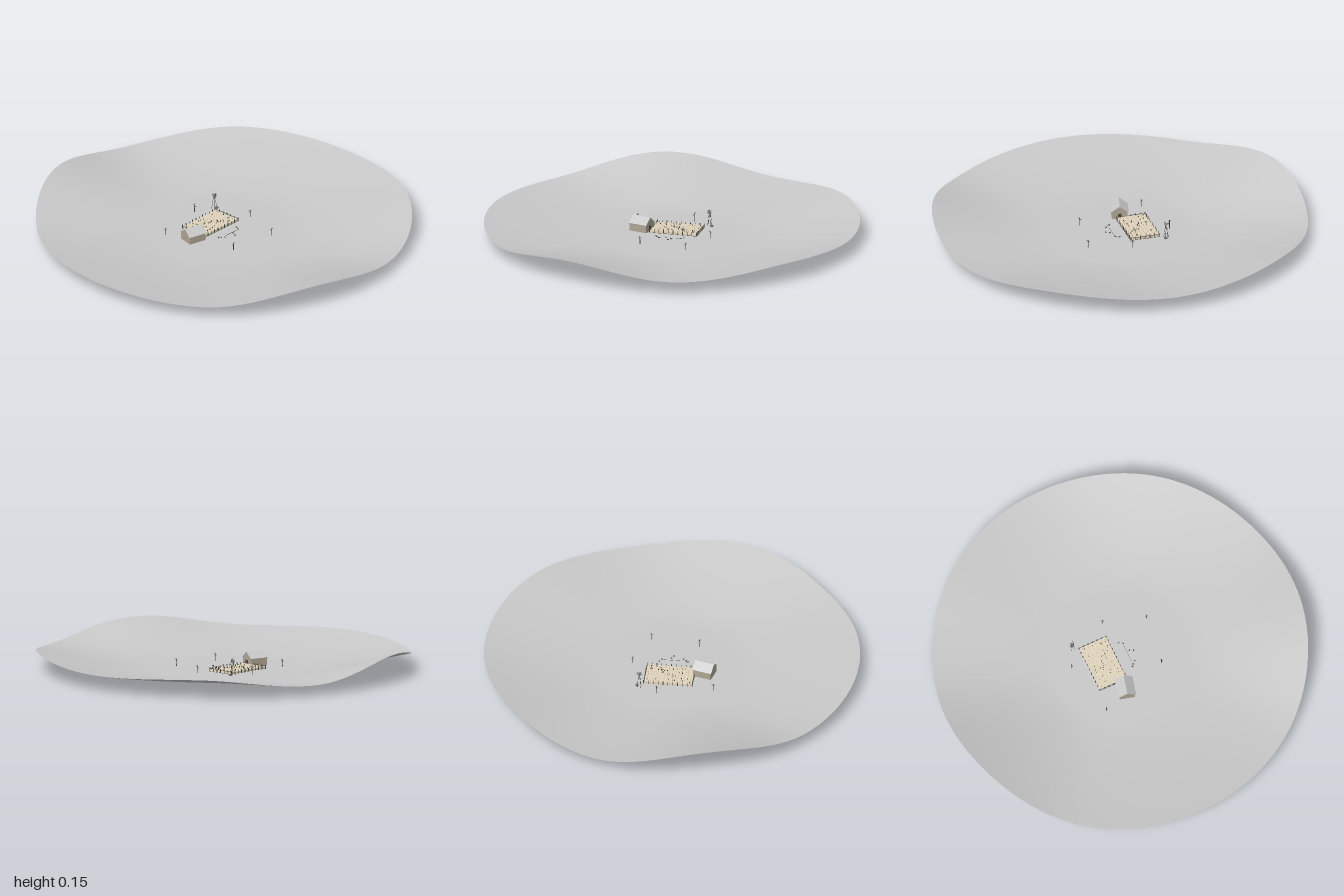
import * as THREE from 'three';

const mat = (name, color, side = THREE.FrontSide) => {
  const m = new THREE.MeshStandardMaterial({ color, side });
  m.name = name;
  return m;
};

const GROUND = 0.006;
// Rim heights every 36 degrees, starting at +x and turning towards +z
const RIM = [0.088, 0.11, 0.07, 0.135, 0.07, 0.085, 0.072, 0.15, 0.06, 0.107];

function groundHeight(x, z) {
  const a = ((Math.atan2(z, x) / (Math.PI * 2) + 1) % 1) * RIM.length;
  const i = Math.floor(a) % RIM.length;
  const s = (1 - Math.cos((a - Math.floor(a)) * Math.PI)) / 2;
  const rim = THREE.MathUtils.lerp(RIM[i], RIM[(i + 1) % RIM.length], s);
  const t = Math.max(0, (Math.hypot(x, z) - 0.38) / 0.62) ** 1.5;
  return GROUND + (rim - GROUND) * t;
}

export function createModel() {
  const group = new THREE.Group();
  const land = mat('land grey', 0xc8c8c8, THREE.DoubleSide);
  const straw = mat('straw', 0xe0d4bc);
  const wall = mat('barn wall', 0xaea593);
  const roofMat = mat('roof grey', 0xc8c8c8);
  const wood = mat('dark wood', 0x4b4740);
  const metal = mat('metal', 0x77777a);

  const add = (parent, name, geo, material, x = 0, y = 0, z = 0) => {
    const mesh = new THREE.Mesh(geo, material);
    mesh.name = name;
    mesh.position.set(x, y, z);
    parent.add(mesh);
    return mesh;
  };
  const part = (name, x, z) => {
    const g = new THREE.Group();
    g.name = name;
    g.position.set(x, GROUND, z);
    group.add(g);
    return g;
  };
  // Thin pole between two points
  const pole = (parent, name, a, b, r) => {
    const p = new THREE.Vector3(...a), q = new THREE.Vector3(...b);
    const mesh = add(parent, name, new THREE.CylinderGeometry(r * 0.7, r, p.distanceTo(q), 5), wood);
    mesh.position.copy(p).lerp(q, 0.5);
    mesh.quaternion.setFromUnitVectors(new THREE.Vector3(0, 1, 0), q.sub(p).normalize());
  };
  let seed = 7;
  const rand = () => (seed = (seed * 16807) % 2147483647) / 2147483647;

  // Rolling land with a wavy raised rim
  const disc = new THREE.RingGeometry(0.0005, 1, 120, 36).rotateX(-Math.PI / 2);
  const pos = disc.attributes.position;
  for (let i = 0; i < pos.count; i++) pos.setY(i, groundHeight(pos.getX(i), pos.getZ(i)));
  disc.computeVertexNormals();
  add(group, 'land', disc, land);

  // Crop field: standing crop, short ears on top and a few dark stalks
  const field = part('field', 0, -0.1);
  add(field, 'crop', new THREE.BoxGeometry(0.254, 0.012, 0.154), straw, 0, 0.0065, 0);
  const ear = new THREE.ConeGeometry(0.003, 0.008, 4);
  for (let i = 0; i < 14; i++) for (let j = 0; j < 8; j++) {
    add(field, 'ear', ear, straw, -0.117 + i * 0.018 + (rand() - 0.5) * 0.006, 0.0165,
      -0.067 + j * 0.019 + (rand() - 0.5) * 0.006);
  }
  const stalk = new THREE.BoxGeometry(0.003, 0.008, 0.003);
  for (let i = 0; i < 36; i++) {
    add(field, 'darkStalk', stalk, wood, (rand() - 0.5) * 0.23, 0.0155, (rand() - 0.5) * 0.13);
  }

  // Fence around the field
  const post = new THREE.BoxGeometry(0.003, 0.021, 0.003);
  const railX = new THREE.BoxGeometry(0.26, 0.002, 0.0015);
  const railZ = new THREE.BoxGeometry(0.0015, 0.002, 0.16);
  for (const s of [-1, 1]) {
    for (let i = 0; i <= 10; i++) add(field, 'fencePost', post, wood, -0.13 + i * 0.026, 0.011, s * 0.08);
    for (let i = 1; i < 6; i++) add(field, 'fencePost', post, wood, s * 0.13, 0.011, -0.08 + i * 0.0267);
    add(field, 'sideRail', railZ, wood, s * 0.13, 0.015, 0);
    add(field, 'groundSideRail', railZ, wood, s * 0.13, 0, 0);
  }
  add(field, 'groundFrontRail', railX, wood, 0, 0, 0.08);

  // Barn: gabled body, two roof slabs and a door
  const barn = part('barn', -0.182, -0.053);
  barn.rotation.y = -0.245;
  const gable = new THREE.Shape([[-0.042, 0.0005], [0.042, 0.0005], [0.042, 0.042], [0, 0.073], [-0.042, 0.042]]
    .map(p => new THREE.Vector2(...p)));
  const body = new THREE.ExtrudeGeometry(gable, { depth: 0.1, bevelEnabled: false })
    .translate(0, 0, -0.05).rotateY(Math.PI / 2);
  add(barn, 'barnBody', body, wall);
  for (const s of [-1, 1]) {
    const slab = add(barn, 'roof', new THREE.BoxGeometry(0.106, 0.004, 0.058), roofMat, 0, 0.0585, s * 0.0225);
    slab.rotation.x = s * Math.atan2(0.031, 0.042);
  }
  add(barn, 'barnDoor', new THREE.BoxGeometry(0.003, 0.03, 0.02), wood, 0.05, 0.016, 0);

  // Wind pump with four legs and a bladed wheel
  const pump = part('windPump', 0.15, -0.21);
  for (const sx of [-1, 1]) for (const sz of [-1, 1]) {
    pole(pump, 'towerLeg', [sx * 0.01, 0, sz * 0.01], [sx * 0.002, 0.078, sz * 0.002], 0.001);
  }
  const wheel = new THREE.Group();
  wheel.name = 'windWheel';
  wheel.position.set(0, 0.08, 0.005);
  pump.add(wheel);
  for (let i = 0; i < 8; i++) {
    const blade = add(wheel, 'blade', new THREE.BoxGeometry(0.004, 0.012, 0.001).translate(0, 0.008, 0), metal);
    blade.rotation.z = i * Math.PI / 4;
  }
  add(pump, 'tailVane', new THREE.BoxGeometry(0.002, 0.008, 0.014), metal, 0, 0.08, -0.008);
  add(pump, 'trough', new THREE.CylinderGeometry(0.009, 0.009, 0.008, 10), metal, 0.012, 0.0045, 0.006);

  // Bare trees scattered around the farm
  for (const [x, z, h] of [[-0.245, -0.195, 0.04], [0.05, -0.26, 0.05], [0.21, -0.005, 0.042],
    [-0.125, 0.185, 0.046], [0.135, 0.22, 0.042]]) {
    const tree = part('bareTree', x, z);
    pole(tree, 'trunk', [0, -0.002, 0], [0, h, 0], 0.002);
    for (let i = 0; i < 4; i++) {
      const a = i * 1.7 + x * 20, y = h * (0.55 + i * 0.1);
      pole(tree, 'branch', [0, y, 0], [Math.cos(a) * 0.009, y + 0.008, Math.sin(a) * 0.009], 0.001);
    }
  }

  // Loose logs and a low rail in the yard
  const log = new THREE.CylinderGeometry(0.0025, 0.0025, 0.011, 6).rotateZ(Math.PI / 2);
  for (const [x, z, a] of [[-0.08, 0.035, 0.3], [-0.07, 0.045, 1.2], [-0.055, 0.06, 0.6], [0, 0.08, 0.1],
    [0.01, 0.06, 2.2], [0.06, 0.045, 0.9], [0.072, 0.025, 1.9]]) {
    add(group, 'log', log, wood, x, GROUND + 0.003, z).rotation.y = a;
  }
  add(group, 'lowRail', new THREE.BoxGeometry(0.1, 0.002, 0.0015), wood, 0, GROUND - 0.0005, 0.045);

  return group;
}
